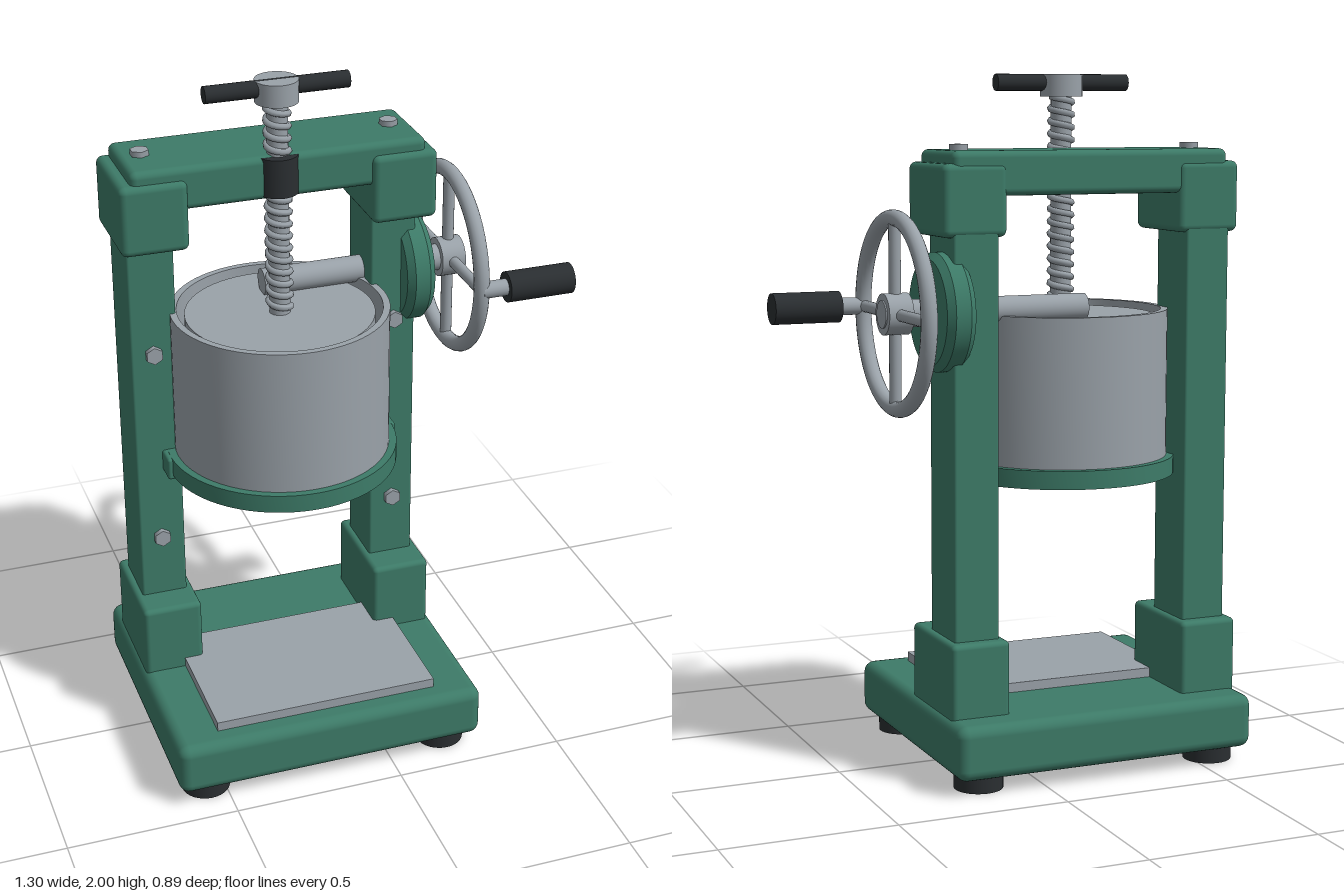
import * as THREE from 'three';
import { RoundedBoxGeometry } from 'three/addons/geometries/RoundedBoxGeometry.js';
import { toCreasedNormals } from 'three/addons/utils/BufferGeometryUtils.js';

const green = new THREE.MeshStandardMaterial({ color: 0x3d7b68 });
const steel = new THREE.MeshStandardMaterial({ color: 0x9aa2a9 });
const dark = new THREE.MeshStandardMaterial({ color: 0x2a2e31 });

// Centre lines: screw and pot share one axis, the crank shaft has another.
const CX = -0.19, CZ = -0.015;
const SHAFT_Y = 1.342, SHAFT_Z = -0.155;

export function createModel() {
  const root = new THREE.Group();

  function add(name, geometry, material, parent = root) {
    const mesh = new THREE.Mesh(geometry, material);
    mesh.name = name;
    parent.add(mesh);
    return mesh;
  }

  // Box given by its limits, with rounded edges when r > 0
  function box(name, [x0, x1], [y0, y1], [z0, z1], material, r = 0) {
    const size = [x1 - x0, y1 - y0, z1 - z0];
    const geo = r ? new RoundedBoxGeometry(...size, 3, r) : new THREE.BoxGeometry(...size);
    const mesh = add(name, geo, material);
    mesh.position.set((x0 + x1) / 2, (y0 + y1) / 2, (z0 + z1) / 2);
    return mesh;
  }

  // Cylinder between two points
  function rod(name, from, to, r, material, sides = 32, parent = root) {
    const a = new THREE.Vector3(...from), b = new THREE.Vector3(...to);
    const dir = b.clone().sub(a);
    const mesh = add(name, new THREE.CylinderGeometry(r, r, dir.length(), sides), material, parent);
    mesh.position.copy(a).add(b).multiplyScalar(0.5);
    mesh.quaternion.setFromUnitVectors(new THREE.Vector3(0, 1, 0), dir.normalize());
    return mesh;
  }

  // Turned part with sharp profile corners
  function turned(name, profile, material) {
    const points = profile.map(([x, y]) => new THREE.Vector2(x, y));
    return add(name, toCreasedNormals(new THREE.LatheGeometry(points, 64), 0.5), material);
  }

  function ring(name, inner, outer, y0, y1, material) {
    const mesh = turned(name, [[inner, y0], [outer, y0], [outer, y1], [inner, y1], [inner, y0]], material);
    mesh.position.set(CX, 0, CZ);
    return mesh;
  }

  // Base, feet and bed plate
  box('base', [-0.65, 0.275], [0.045, 0.203], [-0.38, 0.445], green, 0.032);
  for (const x of [-0.553, 0.178])
    for (const z of [-0.278, 0.347]) rod('foot', [x, 0, z], [x, 0.06, z], 0.071, dark);
  box('bedPlate', [-0.52, 0.145], [0.19, 0.231], [-0.08, 0.38], steel);

  // Two columns, mirrored about the screw axis
  for (const s of [-1, 1]) {
    const span = (a, b) => [CX + s * a, CX + s * b].sort((p, q) => p - q);
    box('column', span(0.291, 0.427), [0.18, 1.7], [-0.249, -0.063], green, 0.008);
    box('columnFoot', span(0.272, 0.448), [0.18, 0.416], [-0.286, 0.033], green, 0.015);
    box('columnCap', span(0.265, 0.457), [1.552, 1.755], [-0.252, 0.029], green, 0.02);
    box('potLug', span(0.24, 0.348), [0.83, 0.897], [-0.075, 0], green, 0.008);
    const x = CX + s * 0.361;
    for (const y of [0.61, 1.21]) rod('frontBolt', [x, y, -0.08], [x, y, -0.046], 0.026, steel, 6);
    rod('topBolt', [x, 1.77, -0.12], [x, 1.806, -0.12], 0.027, steel, 6);
  }
  box('crossbeam', [-0.612, 0.236], [1.665, 1.79], [-0.247, 0.015], green, 0.02);

  // Press screw with helical thread, collar and T-handle
  rod('screwCore', [CX, 1.3, CZ], [CX, 1.95, CZ], 0.03, steel, 24);
  const turns = 17, helix = [];
  for (let i = 0; i <= turns * 12; i++) {
    const a = (i / 12) * Math.PI * 2;
    helix.push(new THREE.Vector3(CX + 0.031 * Math.cos(a), 1.325 + 0.036 * i / 12, CZ + 0.031 * Math.sin(a)));
  }
  add('screwThread', new THREE.TubeGeometry(new THREE.CatmullRomCurve3(helix), turns * 20, 0.01, 6), steel);
  rod('screwCollar', [CX, 1.675, CZ], [CX, 1.786, CZ], 0.058, dark);
  rod('handleHub', [CX, 1.937, CZ], [CX, 2, CZ], 0.061, steel);
  rod('handleBar', [CX - 0.205, 1.977, CZ], [CX + 0.205, 1.977, CZ], 0.024, dark, 20);

  // Pot, pressing plate and spoked support ring
  ring('pot', 0.293, 0.313, 0.89, 1.327, steel);
  rod('pressPlate', [CX, 1.275, CZ], [CX, 1.31, CZ], 0.271, steel, 64);
  ring('supportRing', 0.262, 0.335, 0.845, 0.898, green);
  for (let i = 0; i < 6; i++) {
    const a = (i / 6) * Math.PI * 2;
    rod('supportSpoke', [CX, 0.87, CZ], [CX + 0.27 * Math.cos(a), 0.87, CZ + 0.27 * Math.sin(a)], 0.018, steel, 12);
  }
  rod('supportHub', [CX, 0.84, CZ], [CX, 0.892, CZ], 0.055, steel);

  // Crank shaft and bearing housing
  rod('shaft', [-0.2, SHAFT_Y, SHAFT_Z], [0.415, SHAFT_Y, SHAFT_Z], 0.039, steel);
  const housing = turned('bearingHousing',
    [[0, 0], [0.15, 0], [0.168, 0.02], [0.168, 0.065], [0.15, 0.085], [0, 0.085]], green);
  housing.rotation.z = -Math.PI / 2;
  housing.position.set(0.193, SHAFT_Y, SHAFT_Z);

  // Handwheel, built around its own centre
  const wheel = new THREE.Group();
  wheel.name = 'handwheel';
  wheel.position.set(0.375, SHAFT_Y, SHAFT_Z);
  root.add(wheel);
  const R = 0.265;
  add('wheelRim', new THREE.TorusGeometry(R, 0.023, 16, 64), steel, wheel).rotation.y = Math.PI / 2;
  rod('wheelHub', [-0.036, 0, 0], [0.036, 0, 0], 0.058, steel, 32, wheel);
  rod('wheelSpoke', [0, -R, 0], [0, R, 0], 0.017, steel, 16, wheel);
  rod('wheelSpoke', [0, 0, -R], [0, 0, R], 0.017, steel, 16, wheel);
  rod('gripPin', [0, 0, R], [0.09, 0, R], 0.025, steel, 20, wheel);
  rod('grip', [0.075, 0, R], [0.274, 0, R], 0.045, dark, 32, wheel);

  return root;
}
